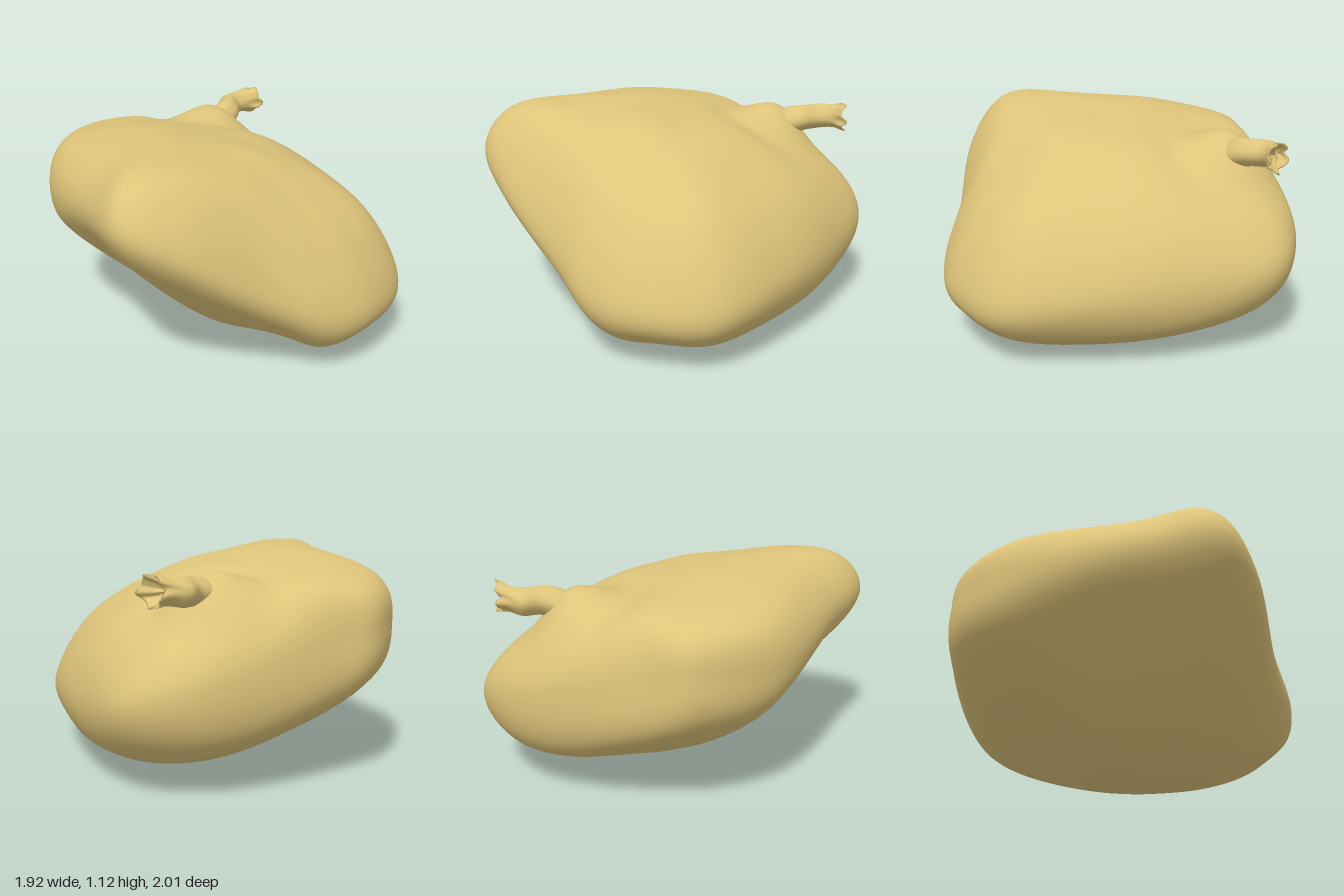
import * as THREE from 'three';
import { mergeVertices } from 'three/addons/utils/BufferGeometryUtils.js';

const V = (x, y, z) => new THREE.Vector3(x, y, z);
const triples = (a) => Array.from({ length: a.length / 3 }, (_, i) => V(a[3 * i], a[3 * i + 1], a[3 * i + 2]));

// Skin a stack of closed loops with shared vertices, so normals are smooth
function loft(rings) {
  const n = rings[0].length, index = [];
  for (let j = 0; j < rings.length - 1; j++) {
    for (let i = 0; i < n; i++) {
      const k = (i + 1) % n;
      const a = j * n + i, d = j * n + k, b = a + n, c = d + n;
      index.push(a, d, c, a, c, b);
    }
  }
  const geometry = new THREE.BufferGeometry().setFromPoints(rings.flat());
  geometry.setIndex(index);
  const merged = mergeVertices(geometry, 1e-5);
  merged.computeVertexNormals();
  return merged;
}

// Three loops around the body, each running left corner, back, right, front
const shoulder = triples([
  -.86, .97, .02, -.74, .96, -.24, -.55, .87, -.56, -.4, .79, -.73, -.2, .73, -.81,
  .17, .71, -.69, .48, .7, -.48, .72, .72, -.2, .73, .71, .08, .63, .76, .28,
  .44, .91, .46, .21, 1.05, .7, 0, 1.085, .84, -.25, 1.06, .64, -.72, .99, .37]);
const rim = triples([
  -.955, .77, .03, -.86, .72, -.25, -.68, .61, -.62, -.47, .53, -.89, -.19, .47, -1,
  .2, .43, -.84, .585, .4, -.605, .91, .37, -.28, .935, .35, .1, .81, .37, .37,
  .58, .5, .58, .3, .75, .88, .03, .86, 1, -.3, .84, .79, -.78, .75, .45]);
const lower = triples([
  -.87, .46, 0, -.79, .38, -.28, -.61, .27, -.58, -.41, .23, -.8, -.13, .22, -.89,
  .23, .19, -.76, .56, .17, -.53, .86, .17, -.24, .85, .16, .06, .74, .14, .27,
  .55, .23, .4, .3, .42, .65, .05, .56, .78, -.28, .56, .6, -.71, .47, .34]);
const top = V(-.05, 1.05, 0), bottom = V(.3, 0, -.2);

// Point beyond a pole that gives every meridian the same tangent plane there
const beyond = (pole, near, sx, sz) => {
  const dx = near.x - pole.x, dz = near.z - pole.z;
  return V(pole.x - dx, near.y - 2 * (sx * dx + sz * dz), pole.z - dz);
};

// Raised mound under the stem, with a shallow dip around it
function addMound(p) {
  const d = Math.hypot(p.x + .35, p.z + .55);
  const upper = THREE.MathUtils.smoothstep(p.y, .68, .9);
  p.y += upper * (.115 * Math.exp(-((d / .17) ** 2)) - .02 * Math.exp(-(((d - .31) / .09) ** 2)));
}

function bodyGeometry() {
  const meridians = rim.map((r, i) => {
    // gently domed, tilted top
    const inner = shoulder[i].clone().lerp(top, .5);
    inner.y = 1.05 - .12 * inner.x + .19 * inner.z - .25 * inner.x ** 2 - .14 * inner.z ** 2;
    const under = lower[i].clone().lerp(bottom, .5);
    under.y *= .48;
    return new THREE.CatmullRomCurve3([
      beyond(top, inner, -.095, .19), top, inner, shoulder[i], r, lower[i], under, bottom,
      beyond(bottom, under, 0, 0)], false, 'catmullrom', .5);
  });
  const levels = 78, around = 150, rings = [];
  for (let j = 0; j <= levels; j++) {
    const t = (1 + 6 * j / levels) / 8;
    const loop = new THREE.CatmullRomCurve3(meridians.map((m) => m.getPoint(t)), true, 'catmullrom', .5);
    const ring = Array.from({ length: around }, (_, i) => loop.getPoint(i / around));
    ring.forEach((p) => { addMound(p); p.y = Math.max(p.y, 0); });
    rings.push(ring);
  }
  return loft(rings);
}

// Crooked stem: root sunk in the mound, narrow neck, ragged hollow end
function stemGeometry() {
  const path = new THREE.CatmullRomCurve3(triples([
    -.35, .88, -.49, -.33, .93, -.59, -.325, .955, -.68, -.36, .96, -.77, -.325, .97, -.84, -.285, .975, -.89]));
  const radius = new THREE.SplineCurve([
    [0, .075], [.2, .08], [.4, .069], [.6, .066], [.8, .062], [1, .075]].map((p) => new THREE.Vector2(...p)));
  const sides = 40, steps = 26;
  const ring = (t, scale) => {
    const c = path.getPoint(t), r = radius.getPoint(t).y * scale;
    const rag = THREE.MathUtils.smoothstep(t, .65, 1);
    return Array.from({ length: sides }, (_, i) => {
      const a = (i / sides) * Math.PI * 2;
      const rr = r * (1 + .04 * Math.sin(4 * a + 1) + .07 * rag * Math.sin(5 * a));
      const jag = rag * (.013 * Math.sin(5 * a + .8) + .006 * Math.sin(9 * a));
      return V(c.x + rr * Math.cos(a), c.y - rr * Math.sin(a), c.z - jag);
    });
  };
  const rings = [];
  for (let j = 0; j <= steps; j++) rings.push(ring(j / steps, 1));
  // inside of the hollow end
  for (const [t, s] of [[1, .86], [.92, .78], [.84, .65], [.8, .3], [.8, .001]]) rings.push(ring(t, s));
  return loft(rings);
}

export function createModel() {
  const group = new THREE.Group();
  group.name = 'gourd';
  const material = new THREE.MeshStandardMaterial({ color: 0xdec47a });
  const add = (name, geometry) => {
    const mesh = new THREE.Mesh(geometry, material);
    mesh.name = name;
    group.add(mesh);
  };
  add('body', bodyGeometry());
  add('stem', stemGeometry());
  return group;
}
